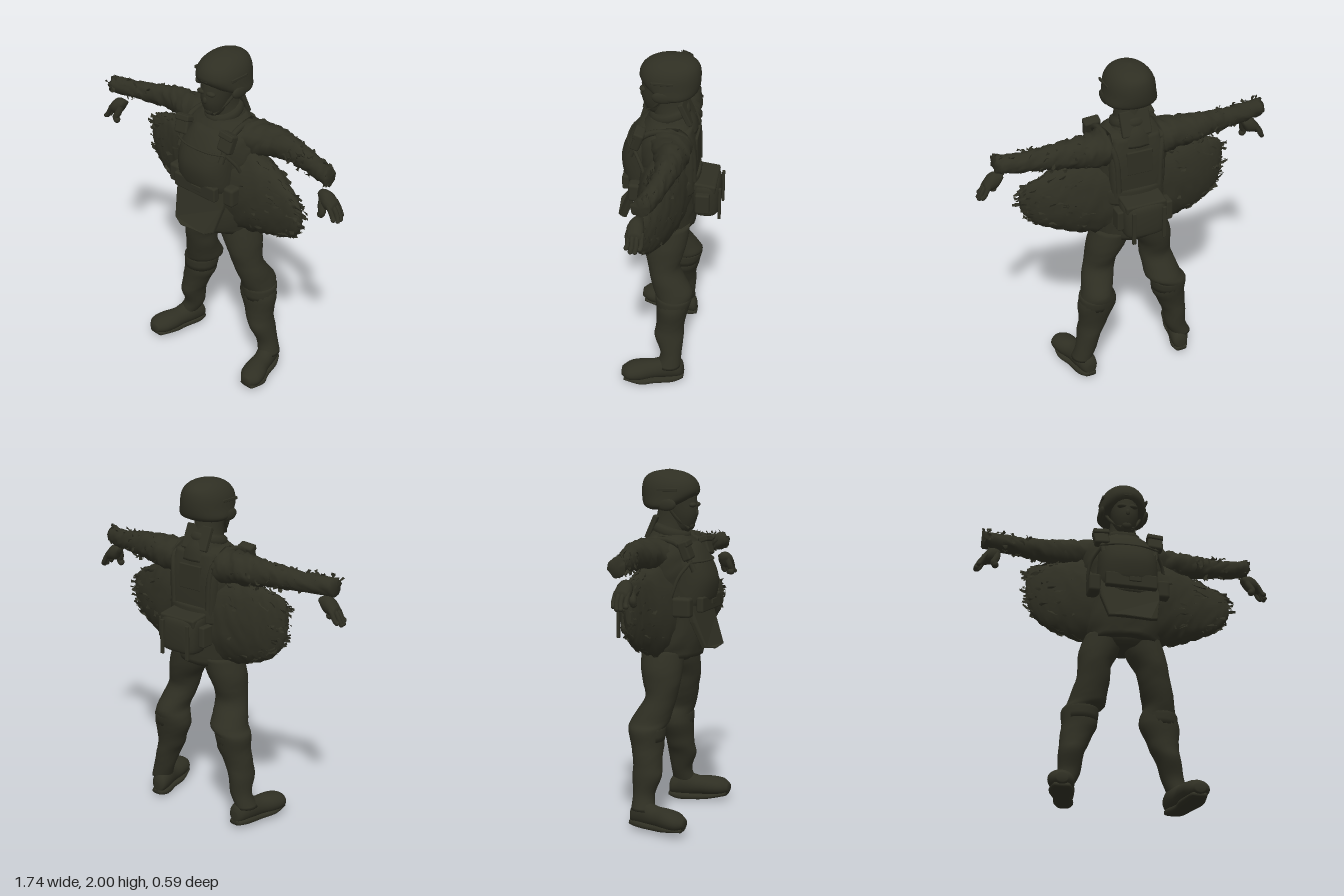
import * as THREE from 'three';
import { mergeGeometries } from 'three/addons/utils/BufferGeometryUtils.js';
import { RoundedBoxGeometry } from 'three/addons/geometries/RoundedBoxGeometry.js';

const olive = new THREE.MeshStandardMaterial({ color: 0x2f2f23, side: THREE.DoubleSide });
olive.name = 'dark olive';

let seed = 7;
const rnd = () => { seed = (seed * 16807) % 2147483647; return seed / 2147483647; };
const jitter = (a) => (rnd() - 0.5) * 2 * a;

// Loft through sections [position along axis, centre u, centre v, radius u, radius v].
// Axis x uses (y, z) as (u, v), axis y uses (x, z), axis z uses (x, y).
function loft(axis, sections, { n = 20, steps = 4, power = 1, noise = 0, warp = null } = {}) {
  const rows = [];
  const cr = (a, b, c, d, t) => 0.5 * (2 * b + (c - a) * t + (2 * a - 5 * b + 4 * c - d) * t * t
    + (3 * b - a - 3 * c + d) * t * t * t);
  const at = (i) => sections[Math.min(Math.max(i, 0), sections.length - 1)];
  for (let i = 0; i < sections.length - 1; i++) {
    for (let s = 0; s < steps; s++) {
      rows.push(at(i).map((_, k) => cr(at(i - 1)[k], at(i)[k], at(i + 1)[k], at(i + 2)[k], s / steps)));
    }
  }
  rows.push(at(sections.length - 1));
  const place = (p, u, v) => {
    const q = axis === 'x' ? new THREE.Vector3(p, u, v)
      : axis === 'y' ? new THREE.Vector3(u, p, v) : new THREE.Vector3(u, v, p);
    if (warp) warp(q);
    return q.toArray();
  };
  const pos = [], index = [];
  const soft = (c) => Math.sign(c) * Math.pow(Math.abs(c), power);
  for (const [p, cu, cv, ru, rv] of rows) {
    for (let j = 0; j < n; j++) {
      const a = (j / n) * Math.PI * 2, k = 1 + jitter(noise);
      pos.push(...place(p + jitter(noise * 0.05), cu + ru * k * soft(Math.cos(a)), cv + rv * k * soft(Math.sin(a))));
    }
  }
  const flip = (axis === 'y') === (at(sections.length - 1)[0] > at(0)[0]);
  const tri = (a, b, c) => (flip ? index.push(a, c, b) : index.push(a, b, c));
  for (let i = 0; i < rows.length - 1; i++) {
    for (let j = 0; j < n; j++) {
      const a = i * n + j, b = i * n + (j + 1) % n;
      tri(a, b, a + n);
      tri(b, b + n, a + n);
    }
  }
  const last = rows.length - 1, c0 = rows.length * n;
  pos.push(...place(...rows[0].slice(0, 3)), ...place(...rows[last].slice(0, 3)));
  for (let j = 0; j < n; j++) {
    const k = (j + 1) % n;
    tri(c0, k, j);
    tri(c0 + 1, last * n + j, last * n + k);
  }
  const g = new THREE.BufferGeometry();
  g.setAttribute('position', new THREE.Float32BufferAttribute(pos, 3));
  g.setIndex(index);
  g.computeVertexNormals();
  return g;
}

export function createModel() {
  const model = new THREE.Group();
  const add = (name, geo) => {
    const m = new THREE.Mesh(geo, olive);
    m.name = name;
    model.add(m);
    return m;
  };
  const box = (name, w, h, d, x, y, z, rx = 0, rz = 0) => {
    const m = add(name, new RoundedBoxGeometry(w, h, d, 2, Math.min(w, h, d) * 0.25));
    m.position.set(x, y, z);
    m.rotation.set(rx, 0, rz);
  };
  const tube = (name, pts, r) => add(name, new THREE.TubeGeometry(
    new THREE.CatmullRomCurve3(pts.map((p) => new THREE.Vector3(...p))), 14, r, 8, false));
  const ball = (name, x, y, z, sx, sy, sz) => {
    const m = add(name, new THREE.SphereGeometry(1, 14, 10));
    m.position.set(x, y, z);
    m.scale.set(sx, sy, sz);
  };

  // Head and neck
  add('helmet', loft('y', [[1.78, 0, -0.025, 0.12, 0.085], [1.8, 0, -0.01, 0.147, 0.135], [1.85, 0, 0.002, 0.141, 0.162],
    [1.91, 0, 0.002, 0.131, 0.163], [1.955, 0, -0.005, 0.106, 0.14], [1.985, 0, -0.01, 0.066, 0.088],
    [2.0, 0, -0.005, 0.005, 0.005]],
  { n: 28, power: 0.95, warp: (q) => { if (q.y < 1.9) q.y += Math.max(0, q.z) * 0.25 * (1.9 - q.y) / 0.1; } }));
  add('head', loft('y', [[1.655, 0, 0.075, 0.03, 0.035], [1.68, 0, 0.075, 0.052, 0.058], [1.73, 0, 0.07, 0.07, 0.085],
    [1.78, 0, 0.06, 0.08, 0.1], [1.86, 0, 0.04, 0.09, 0.11]]));
  ball('nose', 0, 1.762, 0.155, 0.014, 0.022, 0.012);
  ball('chin', 0, 1.692, 0.125, 0.03, 0.025, 0.018);
  box('helmetMount', 0.045, 0.03, 0.01, 0, 1.885, 0.16, -0.05);
  for (const s of [-1, 1]) {
    ball('brow', s * 0.032, 1.805, 0.145, 0.03, 0.014, 0.02);
    box('helmetRail', 0.012, 0.016, 0.12, s * 0.132, 1.89, 0.03);
    ball('earGuard', s * 0.133, 1.81, 0.025, 0.016, 0.035, 0.06);
    tube('chinStrap', [[s * 0.11, 1.81, 0.02], [s * 0.075, 1.74, 0.06], [s * 0.03, 1.675, 0.12]], 0.009);
  }
  add('neck', loft('y', [[1.56, 0, -0.02, 0.15, 0.13], [1.63, 0, -0.02, 0.11, 0.115], [1.7, 0, 0.005, 0.08, 0.095],
    [1.8, 0, 0.02, 0.07, 0.085]]));
  const collar = add('collar', new THREE.TorusGeometry(0.085, 0.022, 8, 24));
  collar.position.set(0, 1.655, 0.005);
  collar.rotation.x = Math.PI / 2 + 0.3;
  collar.scale.set(1, 1.1, 1.5);
  box('collarGuard', 0.17, 0.14, 0.03, 0, 1.68, -0.085, 0.42);

  // Torso, armour and belt
  add('jacketBody', loft('y', [[0.96, 0, 0.02, 0.2, 0.16], [1.1, 0, 0.025, 0.23, 0.175], [1.3, 0, 0.02, 0.22, 0.17],
    [1.45, 0, 0.02, 0.24, 0.17], [1.57, 0, 0.01, 0.22, 0.15], [1.64, 0, 0, 0.12, 0.11]], { n: 28, noise: 0.03 }));
  add('chestArmour', loft('y', [[1.26, 0, 0.12, 0.17, 0.12], [1.3, 0, 0.12, 0.175, 0.14], [1.4, 0, 0.115, 0.175, 0.155],
    [1.5, 0, 0.095, 0.17, 0.138], [1.58, 0, 0.08, 0.12, 0.1], [1.6, 0, 0.07, 0.1, 0.07]], { n: 28, power: 0.8 }));
  const plate = new THREE.Shape([[-0.175, 1.3], [-0.165, 1.17], [-0.13, 1.03], [-0.06, 1.02], [0.1, 1.02],
    [0.14, 1.035], [0.165, 1.17], [0.175, 1.3]].map((p) => new THREE.Vector2(...p)));
  const apron = new THREE.ExtrudeGeometry(plate, { depth: 0.018, bevelSize: 0.006, bevelThickness: 0.006, bevelSegments: 2 });
  const ap = apron.attributes.position;
  for (let i = 0; i < ap.count; i++) {
    ap.setZ(i, ap.getZ(i) + 0.222 + (1.3 - ap.getY(i)) * 0.22 - Math.pow(ap.getX(i), 2) * 2.2);
  }
  apron.computeVertexNormals();
  add('groinApron', apron);
  box('beltFront', 0.3, 0.085, 0.04, 0, 1.265, 0.232);
  box('beltBuckle', 0.07, 0.03, 0.012, 0.02, 1.27, 0.254);
  add('belt', loft('y', [[1.215, 0, 0.02, 0.215, 0.185], [1.23, 0, 0.02, 0.225, 0.19], [1.295, 0, 0.02, 0.225, 0.19],
    [1.31, 0, 0.02, 0.215, 0.185]], { n: 28, power: 0.85, steps: 1 }));
  add('backArmour', loft('y', [[1.22, 0, -0.1, 0.15, 0.05], [1.35, 0, -0.105, 0.16, 0.05], [1.5, 0, -0.1, 0.16, 0.05],
    [1.61, 0, -0.085, 0.13, 0.04]], { power: 0.5 }));
  box('backPanel', 0.15, 0.14, 0.02, 0, 1.47, -0.146);
  for (const s of [-1, 1]) {
    box('shoulderPouch', 0.09, 0.11, 0.05, s * 0.16, 1.565, 0.155, -0.35, s * -0.1);
    box('pouchFlap', 0.095, 0.035, 0.055, s * 0.16, 1.6, 0.15, -0.35, s * -0.1);
    tube('shoulderStrap', [[s * 0.15, 1.45, 0.2], [s * 0.16, 1.58, 0.13], [s * 0.16, 1.62, 0.02],
      [s * 0.15, 1.58, -0.105], [s * 0.13, 1.5, -0.135], [s * 0.12, 1.3, -0.142]], 0.017);
    tube('sideStrap', [[s * 0.16, 1.5, 0.18], [s * 0.21, 1.42, 0.13], [s * 0.225, 1.33, 0.1], [s * 0.22, 1.28, 0.08]], 0.01);
    box('sidePouch', 0.07, 0.11, 0.11, s * 0.2, 1.255, 0.15);
    box('packStrap', 0.022, 0.2, 0.016, s * 0.09, 1.14, -0.285);
    box('packSide', 0.04, 0.12, 0.08, s * 0.145, 1.17, -0.195);
  }
  tube('chestSeam', [[-0.17, 1.5, 0.19], [-0.08, 1.5, 0.226], [0.08, 1.5, 0.226], [0.17, 1.5, 0.19]], 0.006);
  add('hipPack', loft('y', [[1.06, 0.005, -0.2, 0.1, 0.06], [1.08, 0.005, -0.205, 0.12, 0.075], [1.16, 0.005, -0.205, 0.128, 0.08],
    [1.24, 0.005, -0.2, 0.128, 0.078], [1.27, 0.005, -0.19, 0.115, 0.06]], { power: 0.6, n: 24 }));
  box('hipPackLid', 0.24, 0.05, 0.13, 0.005, 1.25, -0.2, -0.12);

  // Billowing jacket sides, sleeves and hands
  const shreds = [];
  const shred = (x, y, z, len, tilt) => {
    const g = new THREE.PlaneGeometry(len, 0.012, 3, 1);
    const p = g.attributes.position;
    for (let i = 0; i < p.count; i++) p.setXYZ(i, p.getX(i), p.getY(i) + jitter(0.007), jitter(0.008));
    g.rotateX(jitter(0.6));
    g.rotateZ(tilt);
    g.translate(x, y, z);
    g.computeVertexNormals();
    shreds.push(g);
  };
  const sides = {
    '-1': [[0.1, 1.235, 0, 0.28, 0.14], [0.22, 1.235, -0.01, 0.26, 0.12], [0.36, 1.245, -0.025, 0.225, 0.085],
      [0.46, 1.255, -0.025, 0.19, 0.06], [0.525, 1.28, -0.02, 0.15, 0.038], [0.56, 1.3, -0.015, 0.09, 0.018]],
    '1': [[0.1, 1.235, 0.02, 0.28, 0.15], [0.25, 1.235, 0.02, 0.25, 0.125], [0.38, 1.23, 0.03, 0.21, 0.095],
      [0.5, 1.22, 0.05, 0.155, 0.065], [0.58, 1.225, 0.075, 0.105, 0.04], [0.615, 1.23, 0.085, 0.05, 0.015]],
  };
  for (const s of [-1, 1]) {
    const rows = sides[s];
    add('jacketSide', loft('x', rows.map(([x, ...r]) => [s * x, ...r]), { n: 32, steps: 5, noise: 0.045 }));
    for (let i = 0; i < 80; i++) {
      // Loose strips lying along the cloth
      const k = 1 + Math.floor(rnd() * 4), f = rnd(), a = rnd() * Math.PI * 2;
      const [x, y, z, ry, rz] = rows[k].map((v, j) => v + (rows[k + 1][j] - v) * f);
      shred(s * x, y + ry * Math.sin(a), z + rz * Math.cos(a), 0.05 + rnd() * 0.05,
        s * (Math.sin(a) < 0 ? 0.45 : -0.35) * Math.abs(Math.sin(a)) + jitter(0.2));
    }
    const end = s > 0 ? 0.76 : 0.83;
    const arm = [[0.14, 1.53, -0.02, 0.1, 0.12], [0.27, 1.545, -0.04, 0.085, 0.095], [0.4, 1.55, -0.045, 0.075, 0.068],
      [0.52, 1.545, -0.028, 0.062, 0.053], [0.66, 1.537, 0.005, 0.053, 0.05], [end, 1.535, 0.04, 0.05, 0.048]];
    add('sleeve', loft('x', arm.map(([x, ...r]) => [s * x, ...r]), { n: 18, steps: 6, noise: 0.13 }));
    for (let i = 0; i < 50; i++) {
      const t = 0.25 + rnd() * (end - 0.25), a = rnd() * Math.PI * 2, r = 0.098 - t * 0.068;
      shred(s * t, 1.54 + r * Math.sin(a), -0.05 + Math.max(0, t - 0.4) * 0.25 + r * Math.cos(a), 0.04, Math.PI / 2 + jitter(1.3));
    }
    // Hand hanging from the cuff
    const o = s > 0 ? 0 : 0.012;
    add('palm', loft('x', [[0.715, 1.445, 0.055, 0.014, 0.025], [0.745, 1.425, 0.06, 0.045, 0.038], [0.78, 1.415, 0.062, 0.046, 0.045],
      [0.82, 1.39, 0.06, 0.025, 0.036]].map(([x, ...r]) => [s * (x + o), ...r]), { n: 14 }));
    for (let f = 0; f < 4; f++) {
      const z = 0.025 + f * 0.023, d = Math.abs(f - 1.5) * 0.012;
      tube('finger', [[s * (0.79 + o), 1.41, z], [s * (0.825 + o - d), 1.39, z], [s * (0.845 + o - d), 1.355, z],
        [s * (0.855 + o - d), 1.325 + d, z + 0.005]], 0.013);
      ball('fingertip', s * (0.855 + o - d), 1.325 + d, z + 0.005, 0.013, 0.013, 0.013);
    }
    tube('thumb', [[s * 0.745, 1.43, 0.075], [s * 0.752, 1.39, 0.092], [s * 0.765, 1.36, 0.1], [s * 0.755, 1.345, 0.1]], 0.02);
    ball('thumbTip', s * 0.757, 1.347, 0.1, 0.02, 0.02, 0.02);
  }
  add('frayedCloth', mergeGeometries(shreds));

  // Trousers, knee pads and boots
  add('hips', loft('y', [[0.93, 0, 0.01, 0.1, 0.1], [0.97, 0, 0.01, 0.19, 0.13], [1.08, 0, 0.01, 0.2, 0.14]]));
  const legs = {
    right: [[0.12, -0.325, -0.035, 0.06, 0.07], [0.2, -0.287, -0.045, 0.063, 0.062], [0.3, -0.28, -0.03, 0.07, 0.085],
      [0.36, -0.265, -0.032, 0.08, 0.082], [0.42, -0.25, -0.038, 0.09, 0.085], [0.48, -0.232, -0.045, 0.1, 0.094],
      [0.56, -0.235, -0.052, 0.1, 0.102], [0.6, -0.198, -0.045, 0.108, 0.112], [0.66, -0.185, -0.02, 0.102, 0.102],
      [0.74, -0.168, 0.012, 0.095, 0.09], [0.82, -0.162, 0.012, 0.094, 0.108], [0.9, -0.14, 0.005, 0.112, 0.12],
      [1.0, -0.11, 0, 0.11, 0.125]],
    left: [[0.12, 0.325, -0.035, 0.06, 0.07], [0.2, 0.298, -0.045, 0.064, 0.062], [0.3, 0.272, -0.03, 0.07, 0.085],
      [0.36, 0.25, -0.032, 0.082, 0.082], [0.42, 0.24, -0.038, 0.092, 0.085], [0.5, 0.226, -0.045, 0.114, 0.096],
      [0.56, 0.22, -0.052, 0.105, 0.102], [0.61, 0.222, -0.045, 0.09, 0.112], [0.68, 0.205, -0.012, 0.093, 0.1],
      [0.75, 0.185, 0.012, 0.092, 0.09], [0.82, 0.17, 0.012, 0.094, 0.108], [0.9, 0.14, 0.005, 0.112, 0.12],
      [1.0, 0.11, 0, 0.11, 0.125]],
  };
  for (const side of ['right', 'left']) {
    const s = side === 'left' ? 1 : -1, drop = s > 0 ? 0 : 0.012;
    add(side + 'Leg', loft('y', legs[side], { n: 22, noise: 0.008 }));
    add(side + 'KneeCuff', loft('y', [[0.5, s * 0.23, -0.045, 0.1, 0.096], [0.56, s * 0.227, -0.05, 0.104, 0.106],
      [0.575, s * 0.225, -0.048, 0.098, 0.1]], { steps: 2 }));
    add(side + 'Boot', loft('z', [[-0.12, s * 0.3, 0.07, 0.02, 0.03], [-0.1, s * 0.3, 0.085, 0.048, 0.055],
      [-0.03, s * 0.315, 0.1, 0.06, 0.072], [0.05, s * 0.335, 0.09, 0.058, 0.058], [0.12, s * 0.355, 0.088, 0.072, 0.058],
      [0.19, s * 0.37, 0.085, 0.068, 0.05], [0.235, s * 0.372, 0.08, 0.03, 0.025]]));
    add(side + 'Sole', loft('z', [[-0.12, s * 0.3, 0.035, 0.035, 0.014], [-0.06, s * 0.31, 0.025 + drop, 0.055, 0.022],
      [0.04, s * 0.335, 0.022 + drop, 0.052, 0.02], [0.12, s * 0.355, 0.03 + drop, 0.068, 0.018],
      [0.22, s * 0.37, 0.045, 0.045, 0.012]], { power: 0.7 }));
  }
  return model;
}
